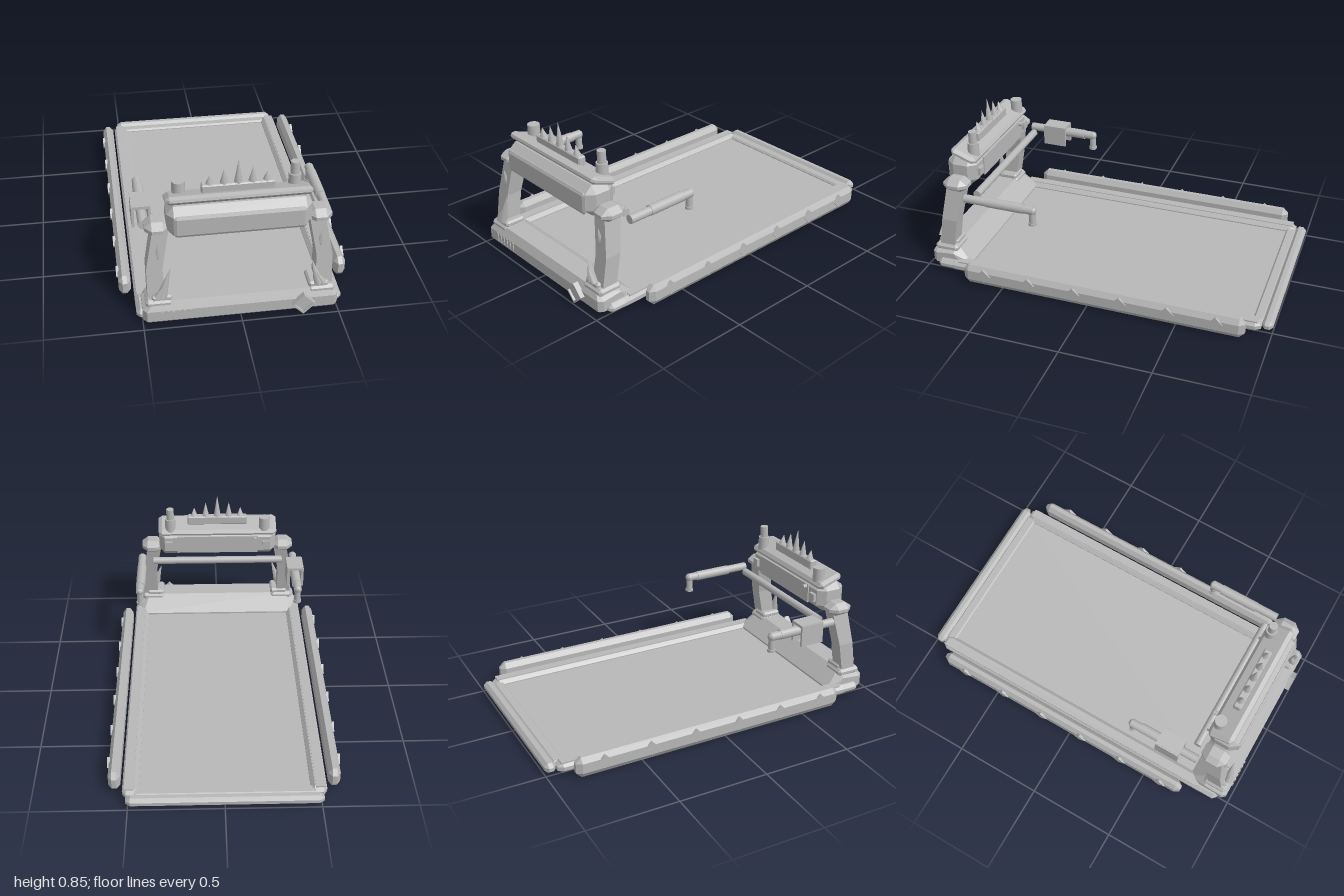
import * as THREE from 'three';
import { ConvexGeometry } from 'three/addons/geometries/ConvexGeometry.js';

export function createModel() {
  const root = new THREE.Group();
  root.name = 'treadmill';
  const grey = new THREE.MeshStandardMaterial({ color: 0xb8b8b8 });
  grey.name = 'grey';

  const add = (name, geo, x = 0, y = 0, z = 0) => {
    const m = new THREE.Mesh(geo, grey);
    m.name = name;
    m.position.set(x, y, z);
    root.add(m);
    return m;
  };
  const box = (w, h, d) => new THREE.BoxGeometry(w, h, d);
  const hull = (pts) => new ConvexGeometry(pts.map((p) => new THREE.Vector3(...p)));

  // Box with chamfered edges and corners
  const chamfer = (w, h, d, cx, cy = cx, cz = cx) => {
    const pts = [];
    for (const i of [-1, 1]) for (const j of [-1, 1]) for (const k of [-1, 1]) {
      const x = w / 2, y = h / 2, z = d / 2;
      pts.push([i * x, j * (y - cy), k * (z - cz)],
        [i * (x - cx), j * y, k * (z - cz)],
        [i * (x - cx), j * (y - cy), k * z]);
    }
    return hull(pts);
  };
  // Cross-section rectangle at a height: x0, x1, z0, z1
  const section = (s, y, x0, x1, z0, z1) =>
    [[s * x0, y, z0], [s * x1, y, z0], [s * x0, y, z1], [s * x1, y, z1]];
  // Pointed spike between two points
  const spike = (name, from, to, r, sides = 6) => {
    const a = new THREE.Vector3(...from), b = new THREE.Vector3(...to);
    const dir = b.clone().sub(a), len = dir.length();
    const geo = new THREE.ConeGeometry(r, len, sides).translate(0, len / 2, 0);
    const m = add(name, geo, a.x, a.y, a.z);
    m.quaternion.setFromUnitVectors(new THREE.Vector3(0, 1, 0), dir.normalize());
    return m;
  };

  // Running deck and rear bars
  add('runningBelt', box(0.92, 0.03, 1.8), 0, 0.025, -0.04);
  add('rearBar', chamfer(1.02, 0.055, 0.06, 0.025, 0.018, 0.018), 0, 0.038, -0.97);
  add('rearInnerBar', chamfer(0.94, 0.045, 0.06, 0.01), 0, 0.032, -0.917);

  // Front motor housing
  const housing = [];
  for (const s of [-1, 1]) {
    housing.push([s * 0.48, 0.03, 0.975], [s * 0.48, 0.09, 0.975], [s * 0.5, 0.03, 0.95],
      [s * 0.5, 0.09, 0.95], [s * 0.44, 0.135, 0.95], [s * 0.44, 0.135, 0.84],
      [s * 0.5, 0.1, 0.84], [s * 0.48, 0.05, 0.74], [s * 0.48, 0.005, 0.74],
      [s * 0.5, 0.03, 0.78], [s * 0.46, 0.005, 0.95]);
  }
  add('motorHousing', hull(housing));
  for (let i = 0; i < 6; i++) {
    add('ventSlot', box(0.012, 0.048, 0.008), -0.405 + i * 0.029, 0.065, 0.976);
  }
  // Diamond ornament: a raised frame with a smaller diamond inside
  const diamond = new THREE.Shape([[0, -0.06], [0.06, 0], [0, 0.06], [-0.06, 0]]
    .map((p) => new THREE.Vector2(...p)));
  diamond.holes.push(new THREE.Path([[0, -0.046], [-0.046, 0], [0, 0.046], [0.046, 0]]
    .map((p) => new THREE.Vector2(...p))));
  add('diamondFrame', new THREE.ExtrudeGeometry(diamond, { depth: 0.03, bevelEnabled: false }),
    0.315, 0.068, 0.97);
  add('diamondCentre', box(0.066, 0.066, 0.02), 0.315, 0.068, 0.978).rotation.z = Math.PI / 4;

  for (const s of [-1, 1]) {
    // Inner deck rail and its thin top strip
    add('deckRail', chamfer(0.085, 0.06, 1.8, 0.02, 0.02, 0.03), s * 0.488, 0.036, -0.04);
    add('railStrip', box(0.05, 0.008, 1.72), s * 0.495, 0.066, -0.06);
    add('railNose', chamfer(0.06, 0.055, 0.12, 0.02), s * 0.5, 0.037, 0.87);

    // Outer side rail with pointed section and diamond studs
    add('sideRail', chamfer(0.064, 0.116, 1.6, 0.02, 0.03, 0.03), s * 0.574, 0.059, -0.07);
    for (let i = 0; i < 6; i++) {
      add('railStud', box(0.014, 0.056, 0.056), s * 0.607, 0.072, 0.602 - i * 0.264)
        .rotation.x = Math.PI / 4;
    }

    // Upright with stepped foot and a bend half way up
    add('footLower', chamfer(0.14, 0.045, 0.14, 0.015), s * 0.415, 0.122, 0.89);
    add('footUpper', chamfer(0.105, 0.035, 0.12, 0.01), s * 0.4, 0.148, 0.89);
    const bend = section(s, 0.305, 0.39, 0.472, 0.815, 0.905);
    add('uprightLower', hull([...section(s, 0.13, 0.385, 0.472, 0.845, 0.932), ...bend]));
    add('uprightUpper', hull([...bend, ...section(s, 0.52, 0.352, 0.432, 0.775, 0.875)]));
    add('shoulderCap', chamfer(0.125, 0.075, 0.145, 0.035, 0.028, 0.04), s * 0.408, 0.518, 0.825);

    // Horns on the upright
    const tip = s < 0 ? [-0.352, 0.33, 0.93] : [0.36, 0.3, 0.93];
    spike('footHorn', [s * 0.4, 0.16, 0.94], tip, 0.028);
    spike('footHornSmall', [s * 0.42, 0.16, 0.945], [s * 0.385, 0.235, 0.95], 0.022);
    spike('uprightFin', [s * 0.41, 0.37, 0.885], [s * 0.41, 0.455, 0.9], 0.018, 4);
    spike('uprightFinLower', [s * 0.41, 0.37, 0.885], [s * 0.41, 0.325, 0.89], 0.018, 4);

    // Side handle with downturned grip
    const bar = add('handleBar', new THREE.CylinderGeometry(0.024, 0.024, 0.41, 16),
      s * 0.47, 0.468, 0.545);
    bar.rotation.x = Math.PI / 2;
    const sleeve = add('handleSleeve', new THREE.CylinderGeometry(0.028, 0.028, 0.22, 16),
      s * 0.468, 0.468, 0.51);
    sleeve.rotation.x = Math.PI / 2;
    add('handleElbow', new THREE.SphereGeometry(0.024, 16, 10), s * 0.47, 0.468, 0.35);
    add('handleGrip', new THREE.CylinderGeometry(0.019, 0.019, 0.085, 16), s * 0.47, 0.427, 0.35);
    add('gripEnd', new THREE.CylinderGeometry(0.023, 0.023, 0.015, 16), s * 0.47, 0.387, 0.35);
  }

  // Saddle plate folded over the right handle
  add('saddleTop', box(0.094, 0.016, 0.14), -0.467, 0.503, 0.584);
  add('saddleOuter', box(0.014, 0.12, 0.14), -0.513, 0.448, 0.584);
  add('saddleInner', box(0.014, 0.12, 0.14), -0.427, 0.448, 0.584);

  // Cross bar behind the console
  add('crossBar', new THREE.CylinderGeometry(0.022, 0.022, 0.8, 16), 0, 0.462, 0.712)
    .rotation.z = Math.PI / 2;
  add('crossBarKnob', new THREE.CylinderGeometry(0.012, 0.012, 0.035, 12), -0.23, 0.6, 0.725)
    .rotation.x = Math.PI / 2;

  // Console body, front panel, rear display and side buttons
  add('console', chamfer(0.725, 0.17, 0.175, 0.035, 0.04, 0.045), 0, 0.56, 0.825);
  add('frontPanel', chamfer(0.66, 0.12, 0.02, 0.015, 0.015, 0.008), 0, 0.553, 0.91);
  add('display', box(0.5, 0.11, 0.009), 0, 0.56, 0.735);
  for (const s of [-1, 1]) add('displayButton', box(0.045, 0.045, 0.025), s * 0.3, 0.56, 0.732);

  // Tilted hood
  add('hood', chamfer(0.73, 0.042, 0.155, 0.022, 0.014, 0.02), 0, 0.656, 0.808).rotation.x = -0.35;

  // Row of spikes on the hood
  add('spikeBase', chamfer(0.366, 0.055, 0.045, 0.006), 0, 0.698, 0.808);
  for (let i = -2; i <= 2; i++) {
    const top = [0.855, 0.81, 0.776][Math.abs(i)];
    spike('hoodSpike', [i * 0.071, 0.72, 0.808], [i * 0.071, top, 0.816], 0.022, 8);
  }

  // Round fittings at the hood ends
  add('shortKnob', new THREE.CylinderGeometry(0.033, 0.034, 0.08, 20), -0.29, 0.69, 0.77);
  add('tallKnobBase', new THREE.CylinderGeometry(0.031, 0.033, 0.08, 20), 0.29, 0.684, 0.77);
  add('tallKnob', new THREE.CylinderGeometry(0.023, 0.023, 0.08, 20), 0.29, 0.75, 0.77);

  return root;
}
